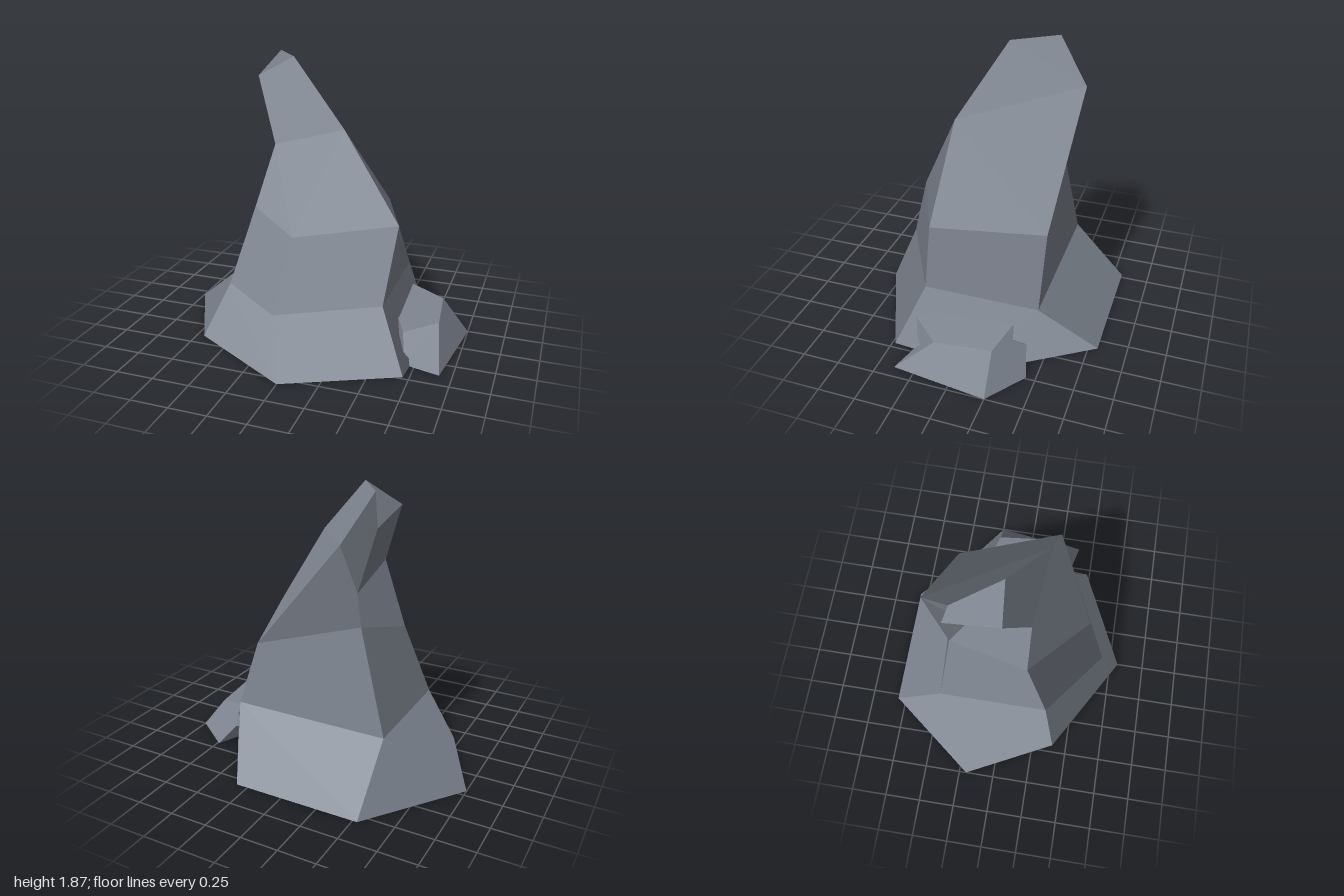
import * as THREE from 'three';

const V = (p) => new THREE.Vector3(...p);

// Spire cross-sections from ground to tip: four corners, plus optional bulge points on the sides
const rings = [
  { fl: [-0.7, 0, 0.4], fr: [0.71, 0, 0.48], br: [0.33, 0, -0.81], bl: [-0.53, 0, -0.81],
    front: [0, 0, 0.81], right: [0.76, 0, -0.17], left: [-1, 0, -0.2] },
  { fl: [-0.53, 0.38, 0.31], fr: [0.53, 0.38, 0.32], br: [0.53, 0.38, -0.45], bl: [-0.53, 0.38, -0.45],
    front: [-0.08, 0.38, 0.66] },
  { fl: [-0.4, 0.89, 0.15], fr: [0.6, 0.9, 0.24], br: [0.37, 0.84, -0.45], bl: [-0.33, 1.05, -0.37],
    front: [0, 0.85, 0.52] },
  { fl: [-0.25, 1.33, 0.15], fr: [0.23, 1.47, 0.2], br: [-0.26, 1.59, -0.51], bl: [-0.25, 1.22, -0.26] },
  { fl: [-0.42, 1.74, 0], fr: [-0.18, 1.87, -0.02], br: [-0.38, 1.87, -0.3], bl: [-0.42, 1.67, -0.35] },
];

// Each side of a ring: its two corners and the name of its bulge point
const sides = [['fl', 'fr', 'front'], ['fr', 'br', 'right'], ['br', 'bl', 'back'], ['bl', 'fl', 'left']];

// Mesh from many-sided facets; each is a fan from its first corner with one shared normal
function facetMesh(name, facets) {
  const positions = [], normals = [];
  for (const outline of facets) {
    const n = new THREE.Vector3();
    outline.forEach((p, i) => n.add(V(p).cross(V(outline[(i + 1) % outline.length]))));
    n.normalize();
    for (let i = 1; i < outline.length - 1; i++) {
      for (const p of [outline[0], outline[i], outline[i + 1]]) {
        positions.push(...p);
        normals.push(n.x, n.y, n.z);
      }
    }
  }
  const g = new THREE.BufferGeometry();
  g.setAttribute('position', new THREE.Float32BufferAttribute(positions, 3));
  g.setAttribute('normal', new THREE.Float32BufferAttribute(normals, 3));
  const mesh = new THREE.Mesh(g, new THREE.MeshStandardMaterial({ color: 0x808792 }));
  mesh.name = name;
  return mesh;
}

// Tall leaning spire
function createSpire() {
  const facets = [];
  for (let i = 0; i < rings.length - 1; i++) {
    const low = rings[i], high = rings[i + 1];
    for (const [a, b, bulge] of sides) {
      facets.push([low[bulge], low[b], high[b], high[bulge], high[a], low[a]].filter(Boolean));
    }
  }
  // Underside and tip
  const r = rings[0], t = rings[rings.length - 1];
  facets.push([r.fl, r.left, r.bl, r.br, r.right, r.fr, r.front]);
  facets.push([t.fl, t.fr, t.br, t.bl]);
  return facetMesh('rockSpire', facets);
}

// Small boulder sunk into the spire's left foot
function createBoulder() {
  // Upper corners
  const topBack = [0.58, 0.28, -0.31], topOuterBack = [0.82, 0.23, -0.24], topOuterFront = [0.86, 0.23, 0.13];
  const topFront = [0.67, 0.23, 0.33], topInner = [0.55, 0.27, 0.08];
  // Ground corners
  const outerBack = [1, 0, -0.25], outerFront = [0.92, 0, 0.39], front = [0.68, 0, 0.33];
  const inner = [0.5, 0, 0.1], back = [0.74, 0, -0.44];
  // Notch at the back and the buried core
  const ledge = [0.61, 0.15, -0.4], notch = [0.65, 0.2, -0.32], core = [0.45, 0.1, -0.2];

  const facets = [
    [topBack, topInner, topFront, topOuterFront, topOuterBack],
    [front, outerFront, topOuterFront, topFront],
    [outerFront, outerBack, topOuterBack, topOuterFront],
    [outerBack, back, ledge, notch, topBack, topOuterBack],
    [topFront, topInner, inner, front],
    [outerBack, outerFront, front, inner, back],
  ];
  // Buried side, closed around the core
  const rim = [topBack, notch, ledge, back, inner, topInner];
  rim.forEach((p, i) => facets.push([core, p, rim[(i + 1) % rim.length]]));
  return facetMesh('smallBoulder', facets);
}

export function createModel() {
  const group = new THREE.Group();
  group.name = 'rockFormation';
  group.add(createSpire(), createBoulder());
  return group;
}
